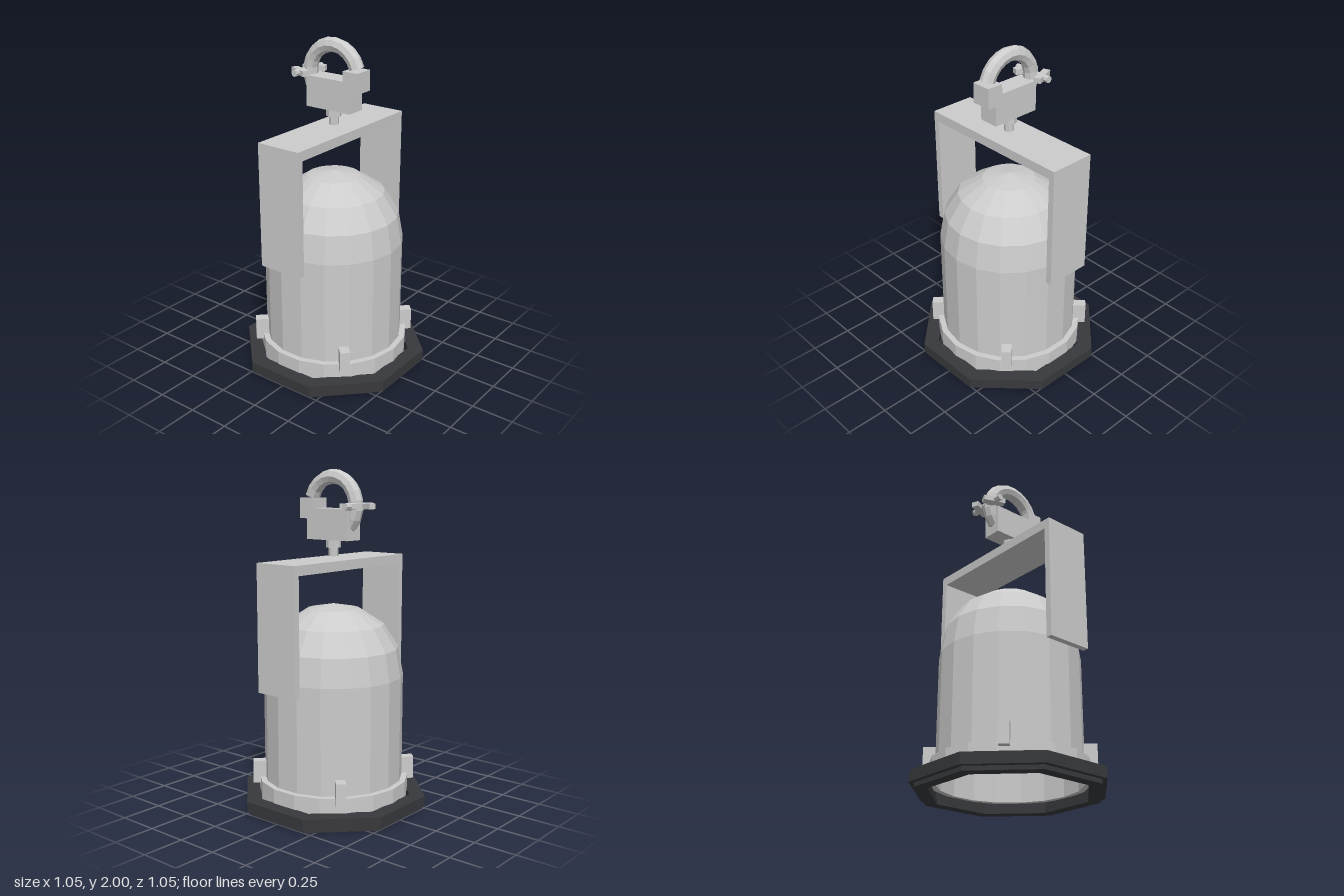
import * as THREE from 'three';

const material = (color) =>
  new THREE.MeshStandardMaterial({ color, flatShading: true, side: THREE.DoubleSide });

export function createModel() {
  const model = new THREE.Group();
  model.name = 'stageLamp';
  const grey = material(0xcccccc);
  const pale = material(0xe8e8e8);
  const dark = material(0x38393c);

  const add = (name, geometry, mat = grey, x = 0, y = 0, z = 0, parent = model) => {
    const mesh = new THREE.Mesh(geometry, mat);
    mesh.name = name;
    mesh.position.set(x, y, z);
    parent.add(mesh);
    return mesh;
  };
  const lathe = (profile, sides, start = 0) =>
    new THREE.LatheGeometry(profile.map(([r, y]) => new THREE.Vector2(r, y)), sides, start);

  // Open-bottomed housing with a faceted dome
  add('housing', lathe([[0.415, 0.06], [0.415, 0.8], [0.385, 0.965], [0.3, 1.1], [0.157, 1.193], [0, 1.222]], 18));

  // Pale collar around the mouth
  add('collar', lathe([[0.415, 0.06], [0.45, 0.06], [0.45, 0.175], [0.415, 0.175]], 18), pale);

  // Octagonal front frame: radii given as distance to the flat sides
  const k = 1 / Math.cos(Math.PI / 8);
  const frame = [[0.428, 0], [0.497, 0], [0.497, 0.025], [0.525, 0.025], [0.525, 0.09],
    [0.437, 0.09], [0.437, 0.025], [0.428, 0.025], [0.428, 0]];
  add('frame', lathe(frame.map(([r, y]) => [r * k, y]), 8, Math.PI / 8), dark);

  // Four clips on the diagonals
  for (let i = 0; i < 4; i++) {
    const a = Math.PI / 4 + i * Math.PI / 2;
    const clip = add('clip', new THREE.BoxGeometry(0.058, 0.135, 0.078), grey,
      Math.sin(a) * 0.447, 0.207, Math.cos(a) * 0.447);
    clip.rotation.y = a;
  }

  // U-shaped yoke, drawn in front outline and extruded through its depth
  const yoke = new THREE.Shape([[-0.495, 0.75], [-0.458, 0.75], [-0.458, 1.43], [0.458, 1.43],
    [0.458, 0.75], [0.495, 0.75], [0.495, 1.487], [-0.495, 1.487]].map(([x, y]) => new THREE.Vector2(x, y)));
  add('yoke', new THREE.ExtrudeGeometry(yoke, { depth: 0.28, bevelEnabled: false }), grey, 0, 0, -0.14);

  // Pivot knobs between yoke and housing
  for (const s of [-1, 1]) {
    add('pivot', new THREE.CylinderGeometry(0.06, 0.06, 0.06, 10).rotateZ(Math.PI / 2), grey, s * 0.43, 0.838, 0);
  }

  // Hanging clamp
  const clamp = new THREE.Group();
  clamp.name = 'clamp';
  model.add(clamp);
  add('stem', new THREE.CylinderGeometry(0.028, 0.028, 0.08, 8), grey, 0, 1.54, 0, clamp);
  add('stemNut', new THREE.CylinderGeometry(0.045, 0.045, 0.05, 8), grey, 0, 1.575, 0, clamp);

  // Stepped clamp block: side outline as [z, y], extruded across x
  const block = new THREE.Shape([[-0.15, 1.595], [0.153, 1.595], [0.153, 1.715], [0.205, 1.715],
    [0.205, 1.833], [0.105, 1.833], [0.105, 1.775], [-0.15, 1.775]].map(([z, y]) => new THREE.Vector2(-z, y)));
  add('clampBlock', new THREE.ExtrudeGeometry(block, { depth: 0.12, bevelEnabled: false })
    .rotateY(Math.PI / 2), grey, -0.06, 0, 0, clamp);

  // Curved hook running from the step over the back and under the block
  const hook = new THREE.TorusGeometry(0.166, 0.043, 8, 14, THREE.MathUtils.degToRad(237))
    .rotateZ(THREE.MathUtils.degToRad(18)).rotateY(-Math.PI / 2);
  add('hook', hook, grey, 0, 1.791, 0, clamp);

  // Cross bolt with two slanted wings
  add('bolt', new THREE.CylinderGeometry(0.02, 0.02, 0.25, 8).rotateZ(Math.PI / 2), grey, 0, 1.79, -0.185, clamp);
  for (const s of [-1, 1]) {
    const wing = add('boltWing', new THREE.BoxGeometry(0.042, 0.032, 0.135), grey, s * 0.065, 1.79, -0.19, clamp);
    wing.rotation.y = s * 0.38;
  }

  return model;
}
